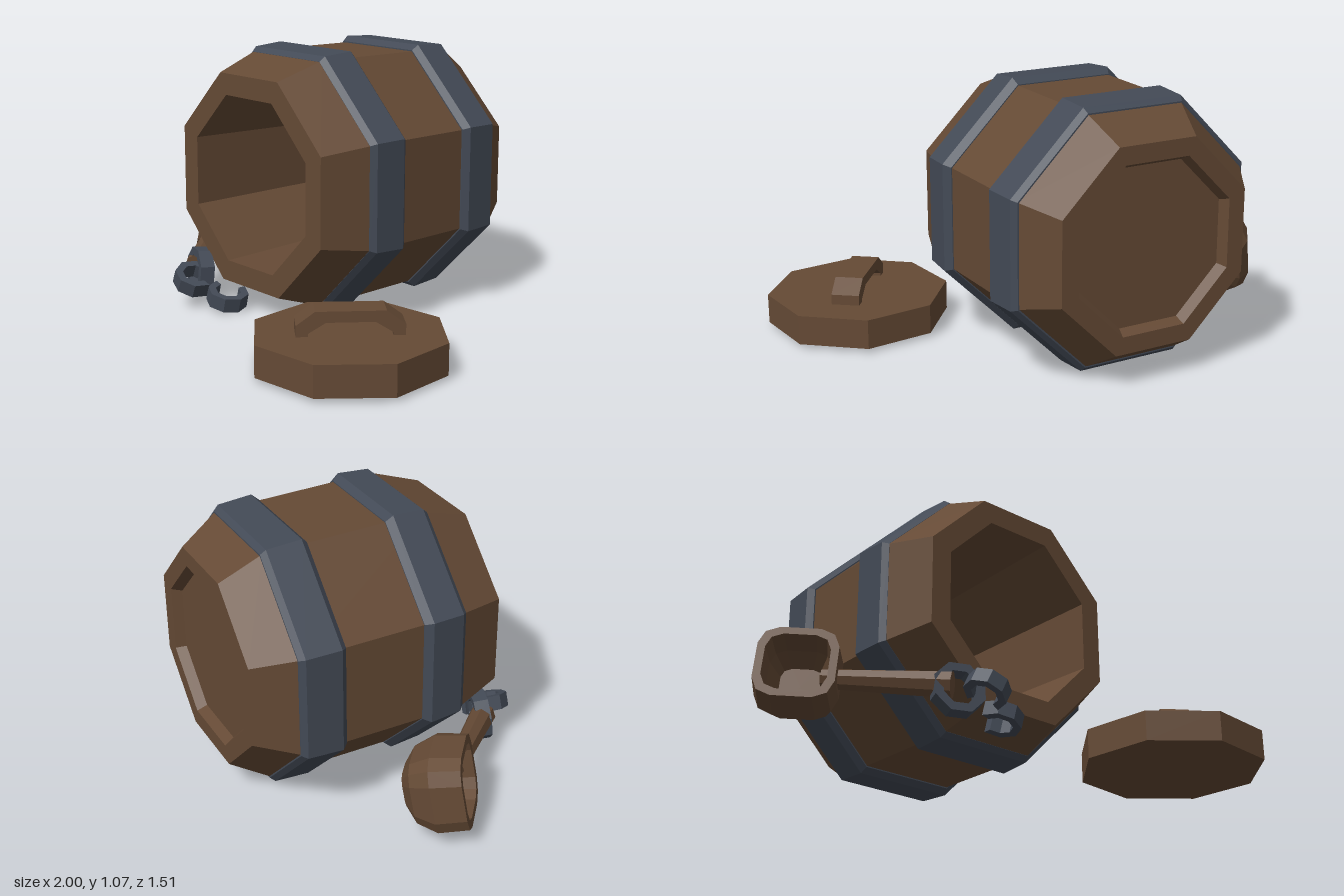
import * as THREE from 'three';

const wood = new THREE.MeshStandardMaterial({ color: 0x654a35 });
wood.name = 'brown wood';
const iron = new THREE.MeshStandardMaterial({ color: 0x434a56 });
iron.name = 'dark iron';

// Faceted normals for the low-poly look
function flat(geometry) {
  const g = geometry.index ? geometry.toNonIndexed() : geometry;
  g.computeVertexNormals();
  return g;
}

function part(name, geometry, material, parent) {
  const mesh = new THREE.Mesh(flat(geometry), material);
  mesh.name = name;
  parent.add(mesh);
  return mesh;
}

// Octagonal lathe along z; profile is [apothem, z] from back to front
function octagonLathe(profile) {
  const k = 1 / Math.cos(Math.PI / 8);
  const points = profile.map(([r, z]) => new THREE.Vector2(r * k, z));
  return new THREE.LatheGeometry(points, 8, Math.PI / 8).rotateX(Math.PI / 2);
}

// Loft of rounded squares along z; profile is [halfWidth, z]
function roundedSquareLoft(profile) {
  const section = [];
  for (let q = 0; q < 4; q++) {
    const c = Math.round(Math.cos(q * Math.PI / 2)), s = Math.round(Math.sin(q * Math.PI / 2));
    for (const [x, y] of [[1, 0.5], [0.85, 0.85], [0.5, 1]]) section.push([x * c - y * s, x * s + y * c]);
  }
  const n = section.length, positions = [], index = [];
  for (const [r, z] of profile) for (const [x, y] of section) positions.push(x * r, y * r, z);
  for (let i = 0; i < profile.length - 1; i++) {
    for (let j = 0; j < n; j++) {
      const a = i * n + j, b = i * n + (j + 1) % n;
      index.push(a, b, b + n, a, b + n, a + n);
    }
  }
  const g = new THREE.BufferGeometry();
  g.setAttribute('position', new THREE.Float32BufferAttribute(positions, 3));
  g.setIndex(index);
  return g;
}

// Flat-band chain link: octagonal ring, open when it has fewer than 8 segments
function linkGeometry(startDegrees, segments, outer, inner, width) {
  const polar = (r, i) => {
    const a = THREE.MathUtils.degToRad(startDegrees + i * 45);
    return new THREE.Vector2(r * Math.cos(a), r * Math.sin(a));
  };
  const out = [], inn = [];
  for (let i = 0; i <= segments; i++) {
    out.push(polar(outer, i));
    inn.push(polar(inner, i));
  }
  let shape;
  if (segments === 8) {
    shape = new THREE.Shape(out.slice(0, 8));
    shape.holes.push(new THREE.Path(inn.slice(0, 8)));
  } else {
    shape = new THREE.Shape([...out, ...inn.reverse()]);
  }
  return new THREE.ExtrudeGeometry(shape, { depth: width, bevelEnabled: false }).translate(0, 0, -width / 2);
}

const Z = new THREE.Vector3(0, 0, 1);
const aim = (mesh, x, y, z) =>
  mesh.quaternion.setFromUnitVectors(Z, new THREE.Vector3(x, y, z).normalize());

export function createModel() {
  const model = new THREE.Group();
  model.name = 'openBarrelSet';

  // Barrel lying on its side: recessed back, open hollow front
  const barrel = new THREE.Group();
  barrel.name = 'barrel';
  barrel.position.set(-0.085, 0.547, 0);
  model.add(barrel);
  part('barrelBody', octagonLathe([
    [0, -0.72], [0.31, -0.72], [0.33, -0.76], [0.4, -0.76], [0.495, -0.6], [0.503, 0.08],
    [0.435, 0.285], [0.347, 0.285], [0.315, -0.66], [0, -0.66],
  ]), wood, barrel);

  // Iron hoops
  part('rearHoop', octagonLathe([
    [0.48, -0.608], [0.496, -0.608], [0.515, -0.587], [0.524, -0.445], [0.502, -0.42], [0.48, -0.42],
  ]), iron, barrel);
  part('frontHoop', octagonLathe([
    [0.48, -0.092], [0.505, -0.092], [0.529, -0.064], [0.52, 0.07], [0.5, 0.092], [0.48, 0.092],
  ]), iron, barrel);

  // Lid lying flat beside the barrel
  const lid = new THREE.Group();
  lid.name = 'lid';
  lid.position.set(0.631, 0, 0.392);
  model.add(lid);
  const disc = part('lidDisc', new THREE.CylinderGeometry(0.375, 0.375, 0.122, 8), wood, lid);
  disc.position.y = 0.08;
  disc.rotation.y = THREE.MathUtils.degToRad(28.3);

  // Arched lid handle
  const arch = new THREE.Shape([
    [-0.2, 0], [-0.155, 0], [-0.155, 0.015], [-0.09, 0.055], [0.09, 0.055], [0.155, 0.015],
    [0.155, 0], [0.2, 0], [0.2, 0.045], [0.13, 0.097], [-0.13, 0.097], [-0.2, 0.045],
  ].map(([x, y]) => new THREE.Vector2(x, y)));
  const handle = part('lidHandle',
    new THREE.ExtrudeGeometry(arch, { depth: 0.115, bevelEnabled: false }).translate(0, 0, -0.0575), wood, lid);
  handle.position.y = 0.138;
  handle.rotation.y = Math.atan2(0.32, 0.245);

  // Ladle: rounded square bowl with a tapered handle
  const ladle = new THREE.Group();
  ladle.name = 'ladle';
  model.add(ladle);
  const bowl = part('ladleBowl', roundedSquareLoft([
    [0, -0.24], [0.07, -0.24], [0.125, -0.2], [0.158, -0.12], [0.152, 0],
    [0.122, 0], [0.115, -0.1], [0.08, -0.17], [0, -0.17],
  ]), wood, ladle);
  bowl.position.set(-0.878, 0.22, -0.06);
  aim(bowl, -0.62, 0.18, 0.76);
  bowl.rotateZ(-0.12);

  const start = new THREE.Vector3(-0.76, 0.183, -0.06), end = new THREE.Vector3(-0.43, 0.133, 0.3);
  const span = end.clone().sub(start);
  const stick = part('ladleHandle',
    new THREE.CylinderGeometry(0.053, 0.038, span.length(), 8).rotateX(Math.PI / 2), wood, ladle);
  stick.position.copy(start).add(end).multiplyScalar(0.5);
  aim(stick, span.x, span.y, span.z);

  // Broken chain on the end of the ladle
  const chain = new THREE.Group();
  chain.name = 'chain';
  model.add(chain);
  const links = [
    { at: [-0.405, 0.118, 0.3], axis: [-0.35, 0.1, 1], start: 22.5, segments: 8, outer: 0.105, inner: 0.07 },
    { at: [-0.335, 0.115, 0.385], axis: [0.42, 0.9, 0.05], start: 75, segments: 6, outer: 0.085, inner: 0.053 },
    { at: [-0.207, 0.054, 0.31], axis: [0.25, 0.95, 0], start: 165, segments: 6, outer: 0.085, inner: 0.053 },
  ];
  links.forEach((l, i) => {
    const link = part(`chainLink${i + 1}`, linkGeometry(l.start, l.segments, l.outer, l.inner, 0.06), iron, chain);
    link.position.set(...l.at);
    aim(link, ...l.axis);
  });

  return model;
}
